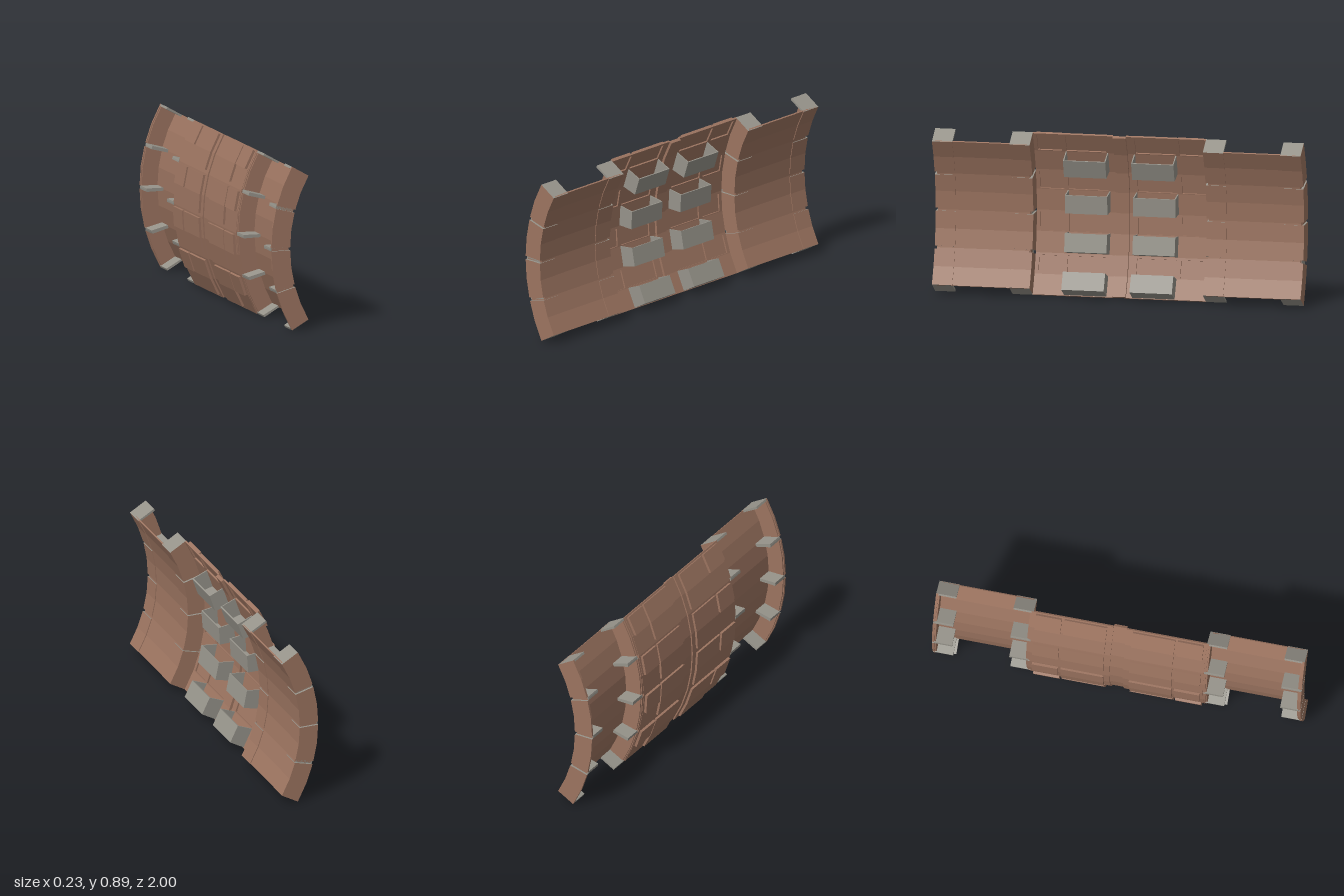
import * as THREE from 'three';

const CX = 0.786, CY = 0.4425;      // axis of the arc, running along z
const STEP = 7.5, SEG = 15;         // facet and segment size in degrees
const RAD = Math.PI / 180;

const brown = new THREE.MeshStandardMaterial({ color: 0x9c7460 });
brown.name = 'brown cladding';
const grey = new THREE.MeshStandardMaterial({ color: 0x96938a });
grey.name = 'grey metal';

// Point on the faceted arc: angle in degrees, 0 at mid height
function point(r, a, z) {
  const mid = (Math.floor(a / STEP + 1e-6) + 0.5) * STEP;
  const k = r * Math.cos(STEP / 2 * RAD) / Math.cos((a - mid) * RAD);
  return [CX - k * Math.cos(a * RAD), CY + k * Math.sin(a * RAD), z];
}

// Block swept along the arc; group 0 is its skin, group 1 its two ends
function arcGeometry(r0, r1, a0, a1, z0, z1) {
  const angles = [a0];
  for (let a = Math.ceil((a0 + 0.01) / STEP) * STEP; a < a1 - 0.01; a += STEP) angles.push(a);
  angles.push(a1);
  const rings = angles.map(a => [point(r0, a, z0), point(r1, a, z0), point(r1, a, z1), point(r0, a, z1)]);
  const pos = [];
  const quad = (a, b, c, d) => pos.push(...a, ...b, ...c, ...a, ...c, ...d);
  for (let i = 0; i + 1 < rings.length; i++) {
    const p = rings[i], q = rings[i + 1];
    for (let j = 0; j < 4; j++) {
      const n = (j + 1) % 4;
      quad(p[j], p[n], q[n], q[j]);
    }
  }
  const skin = pos.length / 3;
  const s = rings[0], e = rings[rings.length - 1];
  quad(s[3], s[2], s[1], s[0]);
  quad(e[0], e[1], e[2], e[3]);
  const g = new THREE.BufferGeometry();
  g.setAttribute('position', new THREE.Float32BufferAttribute(pos, 3));
  g.addGroup(0, skin, 0);
  g.addGroup(skin, 12, 1);
  g.computeVertexNormals();
  return g;
}

export function createModel() {
  const model = new THREE.Group();
  model.name = 'curvedWallPanel';

  function add(parent, name, skin, ends, r0, r1, a0, a1, za, zb) {
    const g = arcGeometry(r0, r1, a0, a1, Math.min(za, zb), Math.max(za, zb));
    const mesh = new THREE.Mesh(g, [skin, ends]);
    mesh.name = name;
    parent.add(mesh);
  }

  // Rib: flange wall at zf, foot strip running along dir, grey gussets behind
  function rib(parent, zf, dir) {
    const group = new THREE.Group();
    group.name = 'rib';
    parent.add(group);
    add(group, 'flangeWall', brown, grey, 0.786, 0.88, -29.9, 29.9, zf + dir * 0.012, zf + dir * 0.02);
    for (let a = -30; a < 30; a += SEG) {
      const lo = a === -30 ? a : a + 0.6, hi = a === 15 ? 30 : a + SEG - 0.6;
      add(group, 'flangeFace', brown, grey, 0.778, 0.885, lo, hi, zf, zf + dir * 0.012);
      add(group, 'footStrip', brown, grey, 0.778, 0.787, lo, hi, zf + dir * 0.012, zf + dir * 0.11);
    }
    for (let a = -30; a <= 30; a += SEG) {
      const lo = a === -30 ? a : a === 30 ? a - 0.8 : a - 0.6;
      const hi = a === -30 ? a + 0.8 : a === 30 ? a : a + 0.6;
      add(group, 'gusset', grey, grey, 0.787, 0.885, lo, hi, zf + dir * 0.012, zf + dir * 0.11);
    }
  }

  // Centre spine
  add(model, 'centreSpine', brown, brown, 0.862, 0.88, -30, 30, -0.036, 0.036);

  for (const s of [1, -1]) {
    const half = new THREE.Group();
    half.name = s > 0 ? 'frontHalf' : 'backHalf';
    model.add(half);

    // Recessed outer bay between two ribs
    add(half, 'bayPanel', brown, brown, 0.782, 0.79, -30, 30, s * 0.485, s * 0.985);
    rib(half, s, -s);
    rib(half, s * 0.47, s);

    for (let a = -30; a < 30; a += SEG) {
      // Inner skin: solid lower part, upper part with two windows
      const w0 = a + 7.8, w1 = a + 14.2;
      add(half, 'skin', brown, brown, 0.876, 0.887, a, w0, s * 0.036, s * 0.47);
      add(half, 'skinTop', brown, brown, 0.876, 0.887, w1, a + SEG, s * 0.036, s * 0.47);
      for (const [z0, z1] of [[0.036, 0.08], [0.295, 0.32], [0.45, 0.47]]) {
        add(half, 'mullion', brown, brown, 0.876, 0.887, w0, w1, s * z0, s * z1);
      }
      // Outer cladding plates
      add(half, 'largePlate', brown, brown, 0.885, 0.899, a + 1.2, a + 14.4, s * 0.07, s * 0.3);
      add(half, 'smallPlate', brown, brown, 0.885, 0.901, a + 7.5, a + 14.4, s * 0.315, s * 0.455);

      // Grey open-topped bin on the hollow side
      const bin = new THREE.Group();
      bin.name = 'bin';
      half.add(bin);
      const b0 = a + 0.2, b1 = a + 7.5;
      add(bin, 'binFace', grey, grey, 0.787, 0.793, b0, b1, s * 0.07, s * 0.3);
      add(bin, 'binFloor', grey, grey, 0.793, 0.877, b0, b0 + 0.5, s * 0.07, s * 0.3);
      add(bin, 'binInnerSide', grey, grey, 0.793, 0.877, b0 + 0.5, b1, s * 0.07, s * 0.076);
      add(bin, 'binOuterSide', grey, grey, 0.793, 0.877, b0 + 0.5, b1, s * 0.294, s * 0.3);
    }
  }
  return model;
}
